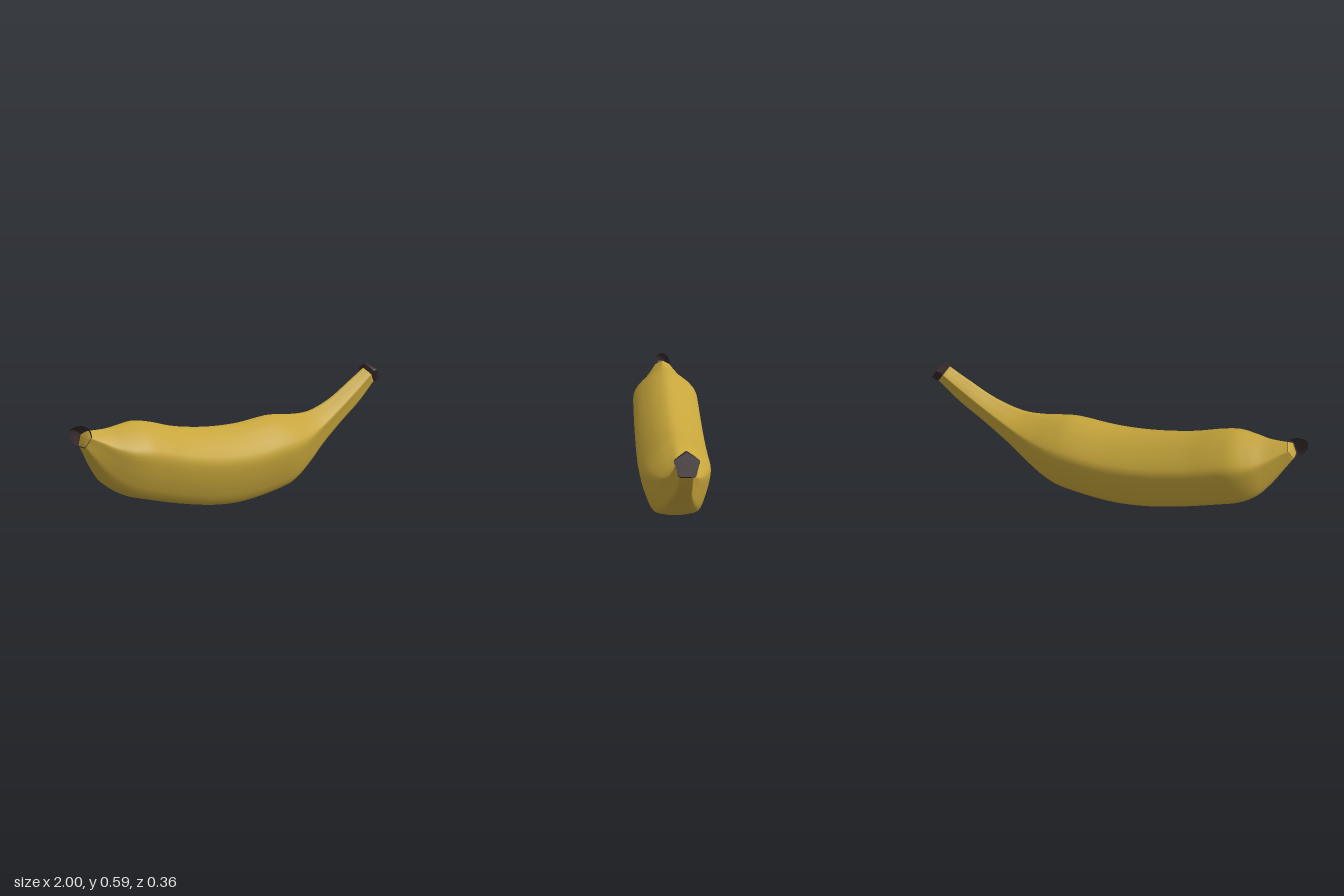
import * as THREE from 'three';
import { toCreasedNormals } from 'three/addons/utils/BufferGeometryUtils.js';

// Half cross-sections from bottom to top: [share of half width, share of height]
const ROUND = [[0, 0], [0.36, 0.02], [0.67, 0.075], [0.84, 0.25], [0.95, 0.43],
  [1, 0.6], [0.93, 0.7], [0.58, 0.87], [0.3, 0.955], [0, 1]];
const RIDGED = [[0, 0], [0.33, 0], [0.64, 0.03], [0.76, 0.22], [0.88, 0.44],
  [1, 0.63], [0.92, 0.68], [0.6, 0.81], [0.3, 0.91], [0, 1]];
const SIDES = 48;

// Closed, mirrored section curve; ridged = 0 is plump, 1 is a crisp pentagon
function sectionPoints(ridged) {
  const half = ROUND.map(([u, v], i) => new THREE.Vector3(
    THREE.MathUtils.lerp(u, RIDGED[i][0], ridged),
    THREE.MathUtils.lerp(v, RIDGED[i][1], ridged), 0));
  const mirrored = half.slice(1, -1).reverse().map(p => new THREE.Vector3(-p.x, p.y, 0));
  const curve = new THREE.CatmullRomCurve3([...half, ...mirrored], true);
  return Array.from({ length: SIDES }, (_, i) => curve.getPoint(i / SIDES));
}

// Loft through stations [topX, topY, bottomX, bottomY, halfWidth, ridged], left to right
function loft(stations, steps) {
  const path = (a, b, c) => new THREE.CatmullRomCurve3(
    stations.map(s => new THREE.Vector3(s[a], s[b], s[c])), false, 'catmullrom', 0.5);
  const tops = path(0, 1, 4), bottoms = path(2, 3, 5);
  const rings = (stations.length - 1) * steps;
  const pos = [], index = [];
  for (let i = 0; i <= rings; i++) {
    const top = tops.getPoint(i / rings), bot = bottoms.getPoint(i / rings);
    const ridged = THREE.MathUtils.clamp(bot.z, 0, 1);
    for (const p of sectionPoints(ridged)) {
      pos.push(bot.x + (top.x - bot.x) * p.y, bot.y + (top.y - bot.y) * p.y, top.z * p.x);
    }
  }
  for (let i = 0; i < rings; i++) {
    for (let j = 0; j < SIDES; j++) {
      const k = (j + 1) % SIDES;
      const a = i * SIDES + j, b = i * SIDES + k;
      index.push(a, a + SIDES, b, b, a + SIDES, b + SIDES);
    }
  }
  // Flat ends
  for (const end of [0, rings]) {
    const s = stations[end ? stations.length - 1 : 0];
    const centre = pos.length / 3;
    pos.push((s[0] + s[2]) / 2, (s[1] + s[3]) / 2, 0);
    for (let j = 0; j < SIDES; j++) {
      const a = end * SIDES + j, b = end * SIDES + (j + 1) % SIDES;
      if (end) index.push(centre, b, a);
      else index.push(centre, a, b);
    }
  }
  const geo = new THREE.BufferGeometry();
  geo.setAttribute('position', new THREE.Float32BufferAttribute(pos, 3));
  geo.setIndex(index);
  geo.computeVertexNormals();
  return geo;
}

export function createModel() {
  const model = new THREE.Group();
  model.name = 'banana';
  const peelYellow = new THREE.MeshStandardMaterial({ name: 'peel yellow', color: 0xc6a53b });
  const darkBrown = new THREE.MeshStandardMaterial({ name: 'dark brown', color: 0x35292b });

  const add = (name, geo, material) => {
    const mesh = new THREE.Mesh(geo, material);
    mesh.name = name;
    model.add(mesh);
  };

  // Curved peel, from the blossom tip to the stem
  add('peel', loft([
    [-0.905, 0.506, -0.942, 0.438, 0.041, 1],
    [-0.85, 0.503, -0.905, 0.375, 0.068, 0.8],
    [-0.79, 0.502, -0.85, 0.285, 0.108, 0.5],
    [-0.72, 0.508, -0.79, 0.21, 0.15, 0.2],
    [-0.64, 0.512, -0.71, 0.158, 0.174, 0],
    [-0.55, 0.493, -0.6, 0.12, 0.178, 0],
    [-0.4, 0.447, -0.42, 0.065, 0.18, 0],
    [-0.2, 0.411, -0.22, 0.018, 0.181, 0],
    [0, 0.397, -0.02, 0.001, 0.181, 0],
    [0.2, 0.406, 0.22, 0.022, 0.176, 0],
    [0.3, 0.398, 0.33, 0.055, 0.16, 0.2],
    [0.41, 0.384, 0.45, 0.125, 0.125, 0.5],
    [0.52, 0.387, 0.56, 0.203, 0.092, 0.8],
    [0.66, 0.43, 0.7, 0.293, 0.066, 1],
    [0.8, 0.503, 0.85, 0.388, 0.053, 1],
    [0.917, 0.565, 0.97, 0.488, 0.046, 1],
  ], 6), peelYellow);

  // Rounded dark blossom tip
  add('blossomTip', loft([
    [-0.897, 0.512, -0.944, 0.432, 0.045, 0.6],
    [-0.925, 0.53, -0.966, 0.448, 0.043, 0.4],
    [-0.955, 0.537, -0.985, 0.466, 0.036, 0.2],
    [-0.99, 0.53, -1, 0.487, 0.02, 0],
  ], 3), darkBrown);

  // Flared, five-sided cut end of the stem
  add('stemEnd', toCreasedNormals(loft([
    [0.909, 0.556, 0.958, 0.487, 0.047, 1],
    [0.915, 0.587, 0.972, 0.483, 0.056, 1],
    [0.935, 0.585, 1, 0.497, 0.058, 1],
  ], 1), 0.6), darkBrown);

  return model;
}
